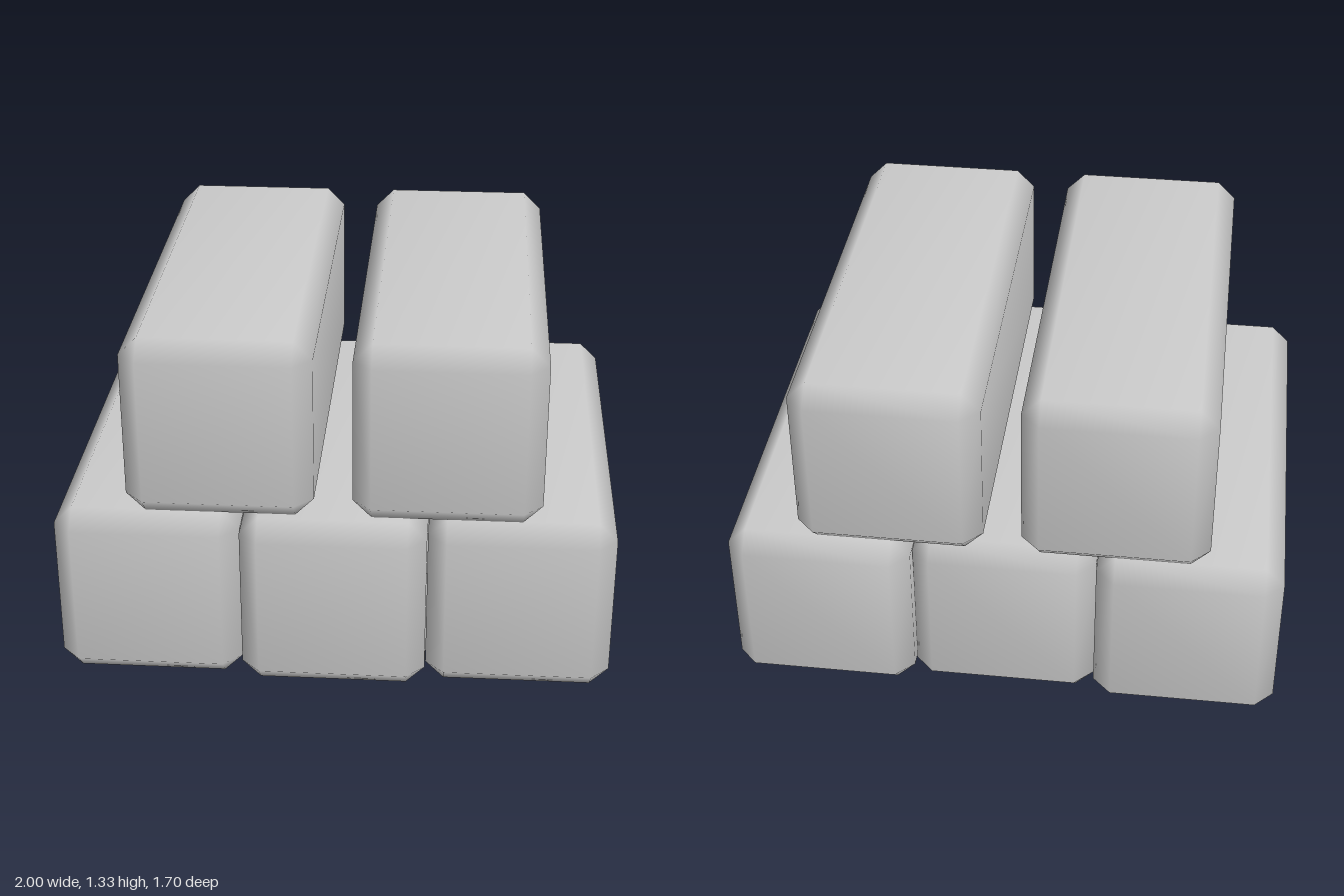
import * as THREE from 'three';
import { ConvexGeometry } from 'three/addons/geometries/ConvexGeometry.js';
import { mergeVertices } from 'three/addons/utils/BufferGeometryUtils.js';

const W = 0.665, H = 0.667, L = 1.66, C = 0.067;

// Chamfered bar with normals blended across the chamfers
function barGeometry() {
  const points = [];
  const half = [W / 2, H / 2, L / 2];
  for (const sx of [-1, 1]) for (const sy of [-1, 1]) for (const sz of [-1, 1]) {
    // Each corner is cut into three points, one on every adjoining face
    for (let face = 0; face < 3; face++) {
      const [x, y, z] = half.map((h, axis) => (axis === face ? h : h - C));
      points.push(new THREE.Vector3(sx * x, sy * y, sz * z));
    }
  }
  const hull = new ConvexGeometry(points);
  hull.deleteAttribute('normal');
  const geometry = mergeVertices(hull, 1e-4);
  geometry.computeVertexNormals();
  return geometry;
}

export function createModel() {
  const group = new THREE.Group();
  const material = new THREE.MeshStandardMaterial({ color: 0xcccccc });
  const geometry = barGeometry();

  // Three bars below, two above, each slid slightly along its length
  const bars = [
    ['lowerRightBar', -0.667, 0, -0.017],
    ['lowerMiddleBar', 0, 0, 0.017],
    ['lowerLeftBar', 0.667, 0, -0.02],
    ['upperRightBar', -0.4, 1, -0.017],
    ['upperLeftBar', 0.4, 1, -0.017],
  ];
  for (const [name, x, row, z] of bars) {
    const bar = new THREE.Mesh(geometry, material);
    bar.name = name;
    bar.position.set(x, H * (row + 0.5), z);
    group.add(bar);
  }
  return group;
}
